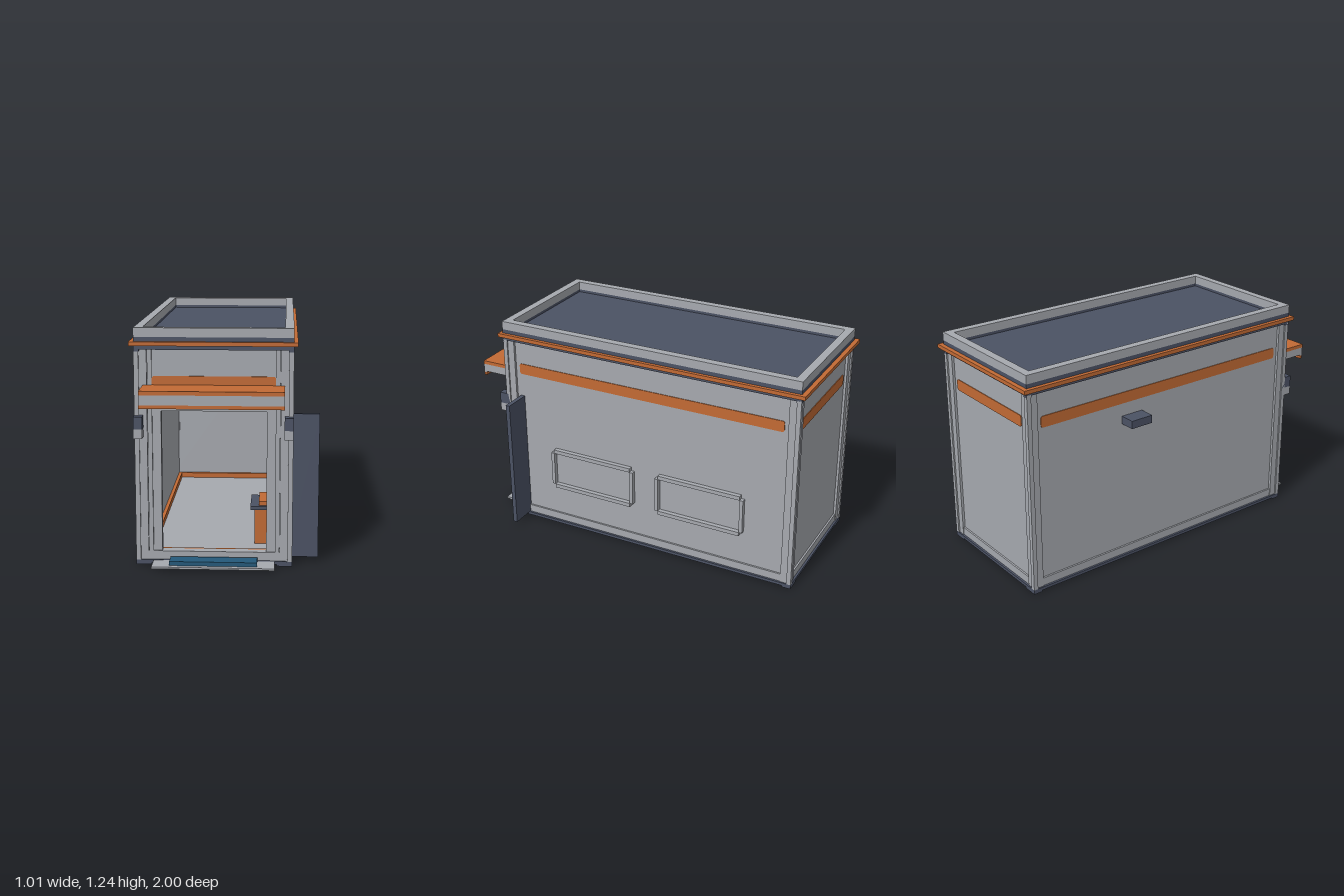
import * as THREE from 'three';

const mat = (name, color) => {
  const m = new THREE.MeshStandardMaterial({ color });
  m.name = name;
  return m;
};

export function createModel() {
  const grey = mat('wallGrey', 0xa6a9af);
  const dark = mat('slate', 0x4b5264);
  const orange = mat('orange', 0xc26a34);
  const teal = mat('teal', 0x24597a);
  const root = new THREE.Group();

  // Box given by its limits on each axis
  const box = (name, m, x0, x1, y0, y1, z0, z1) => {
    const mesh = new THREE.Mesh(new THREE.BoxGeometry(x1 - x0, y1 - y0, z1 - z0), m);
    mesh.position.set((x0 + x1) / 2, (y0 + y1) / 2, (z0 + z1) / 2);
    mesh.name = name;
    root.add(mesh);
    return mesh;
  };
  const rect = (P, x0, x1, y0, y1) => {
    const p = new P();
    p.moveTo(x0, y0).lineTo(x1, y0).lineTo(x1, y1).lineTo(x0, y1).closePath();
    return p;
  };
  // Horizontal rectangular ring, w is its width
  const ring = (name, m, x0, x1, z0, z1, y0, y1, w) => {
    const s = rect(THREE.Shape, x0, x1, -z1, -z0);
    s.holes.push(rect(THREE.Path, x0 + w, x1 - w, -z1 + w, -z0 - w));
    const g = new THREE.ExtrudeGeometry(s, { depth: y1 - y0, bevelEnabled: false });
    g.rotateX(-Math.PI / 2);
    const mesh = new THREE.Mesh(g, m);
    mesh.position.y = y0;
    mesh.name = name;
    root.add(mesh);
  };

  // Outer limits of the body
  const L = -0.44, R = 0.37, B = -0.975, F = 0.82, C = (L + R) / 2;

  // Floor, skirting and base rail
  box('floor', grey, L + 0.05, R - 0.05, 0.027, 0.037, B + 0.05, F - 0.05);
  ring('skirting', orange, L + 0.03, R - 0.03, B + 0.03, F - 0.03, 0.024, 0.068, 0.05);
  ring('baseRail', dark, L, R, B, F, 0.008, 0.025, 0.03);
  ring('bottomRail', grey, L + 0.012, R - 0.012, B + 0.012, F - 0.012, 0.025, 0.07, 0.025);

  // Wall panels, set back behind the posts
  box('leftWall', grey, R - 0.06, R - 0.022, 0.068, 1.13, B + 0.03, F - 0.03);
  box('rightWall', grey, L + 0.022, L + 0.06, 0.068, 1.13, B + 0.03, F - 0.03);
  box('backWall', grey, L + 0.03, R - 0.03, 0.068, 1.13, B + 0.022, B + 0.06);
  const front = rect(THREE.Shape, L + 0.03, R - 0.03, 0.068, 1.13);
  front.holes.push(rect(THREE.Path, -0.305, 0.235, 0.07, 0.81));
  const frontWall = new THREE.Mesh(new THREE.ExtrudeGeometry(front, { depth: 0.038, bevelEnabled: false }), grey);
  frontWall.position.z = F - 0.06;
  frontWall.name = 'frontWall';
  root.add(frontWall);

  // Stepped corner posts, feet and front lamps
  for (const sx of [-1, 1]) {
    const xo = sx > 0 ? R : L;
    const span = (a, b) => [Math.min(xo - sx * a, xo - sx * b), Math.max(xo - sx * a, xo - sx * b)];
    for (const sz of [-1, 1]) {
      const zo = sz > 0 ? F : B;
      const zs = (a, b) => [Math.min(zo - sz * a, zo - sz * b), Math.max(zo - sz * a, zo - sz * b)];
      box('cornerPost', grey, ...span(0.008, 0.065), 0.025, 1.13, ...zs(0.008, 0.065));
      box('cornerBead', grey, ...span(0, 0.025), 0.025, 1.13, ...zs(0, 0.025));
      box('foot', dark, ...span(0, 0.08), 0, 0.022, ...zs(0, 0.05));
      box('postCap', dark, ...span(0, 0.028), 1.117, 1.13, ...zs(-0.001, 0.028));
    }
    box('lampHousing', dark, ...span(0, 0.045), 0.725, 0.79, 0.8, 0.866);
    box('lampLens', grey, ...span(0, 0.045), 0.677, 0.725, 0.815, 0.866);
    box('frontBatten', grey, ...span(0.067, 0.09), 0.07, 1.125, 0.79, 0.808);
  }

  // Cornice, parapet and sunken roof
  ring('lowerCornice', dark, L, R, B, F, 1.126, 1.148, 0.045);
  ring('corniceTrim', orange, -0.462, 0.39, -1, 0.84, 1.147, 1.168, 0.06);
  ring('upperCornice', dark, L, R, B, F, 1.168, 1.19, 0.045);
  ring('parapet', grey, L, R, B, F, 1.19, 1.237, 0.045);
  box('roof', dark, L + 0.02, R - 0.02, 1.13, 1.175, B + 0.02, F - 0.02);

  // Painted stripes with rounded ends
  const stripe = (name, len, x, z, turn) => {
    const a = len / 2, h = 0.031, r = 0.015;
    const s = new THREE.Shape();
    s.moveTo(-a + r, -h).lineTo(a - r, -h).quadraticCurveTo(a, -h, a, -h + r);
    s.lineTo(a, h - r).quadraticCurveTo(a, h, a - r, h).lineTo(-a + r, h);
    s.quadraticCurveTo(-a, h, -a, h - r).lineTo(-a, -h + r).quadraticCurveTo(-a, -h, -a + r, -h);
    const mesh = new THREE.Mesh(new THREE.ExtrudeGeometry(s, { depth: 0.004, bevelEnabled: false }), orange);
    mesh.position.set(x, 0.959, z);
    mesh.rotation.y = turn;
    mesh.name = name;
    root.add(mesh);
  };
  stripe('leftStripe', 1.615, R - 0.022, -0.0775, Math.PI / 2);
  stripe('rightStripe', 1.615, L + 0.022, -0.0775, -Math.PI / 2);
  stripe('frontStripe', 0.63, C, F - 0.022, 0);
  stripe('backStripe', 0.63, C, B + 0.022, Math.PI);

  // Window frames on the left wall, bars meeting at notched corners
  for (const [z0, z1] of [[-0.005, 0.53], [-0.68, -0.145]]) {
    for (const y of [0.25, 0.475]) box('windowRail', grey, R - 0.03, R + 0.004, y, y + 0.023, z0 + 0.02, z1 - 0.02);
    for (const z of [z0, z1 - 0.02]) box('windowStile', grey, R - 0.03, R + 0.004, 0.273, 0.475, z, z + 0.02);
  }

  // Awning above the doorway
  box('awningTop', orange, -0.395, 0.325, 0.925, 0.945, 0.79, 1);
  const side = new THREE.Shape();
  side.moveTo(-0.79, 0.88).lineTo(-0.98, 0.88).lineTo(-0.985, 0.875).lineTo(-1, 0.875).lineTo(-1, 0.925).lineTo(-0.79, 0.925).closePath();
  const awning = new THREE.Mesh(new THREE.ExtrudeGeometry(side, { depth: 0.72, bevelEnabled: false }), grey);
  awning.rotation.y = Math.PI / 2;
  awning.position.x = -0.395;
  awning.name = 'awningBody';
  root.add(awning);
  box('awningLip', orange, -0.395, 0.325, 0.857, 0.875, 0.984, 1);

  // Open door leaf and wall box
  box('doorLeaf', dark, 0.345, 0.505, 0.026, 0.79, 0.71, 0.735);
  box('wallBox', dark, -0.505, -0.415, 0.811, 0.855, -0.375, -0.24);

  // Entry step with a sloped underside
  const ramp = new THREE.Shape();
  ramp.moveTo(-0.79, 0.004).lineTo(-0.85, 0.004).lineTo(-0.935, 0.014).lineTo(-0.935, 0.024).lineTo(-0.79, 0.024).closePath();
  const step = new THREE.Mesh(new THREE.ExtrudeGeometry(ramp, { depth: 0.63, bevelEnabled: false }), grey);
  step.rotation.y = Math.PI / 2;
  step.position.x = -0.35;
  step.name = 'entryStep';
  root.add(step);
  box('stepMat', teal, -0.26, 0.19, 0.022, 0.046, 0.825, 0.91);

  // Small bench inside, against the left wall
  box('benchBase', orange, 0.167, 0.3, 0.035, 0.23, 0.35, 0.55);
  box('benchSeat', dark, 0.145, 0.305, 0.23, 0.25, 0.33, 0.57);
  box('benchBack', orange, 0.19, 0.3, 0.25, 0.272, 0.35, 0.55);

  return root;
}
